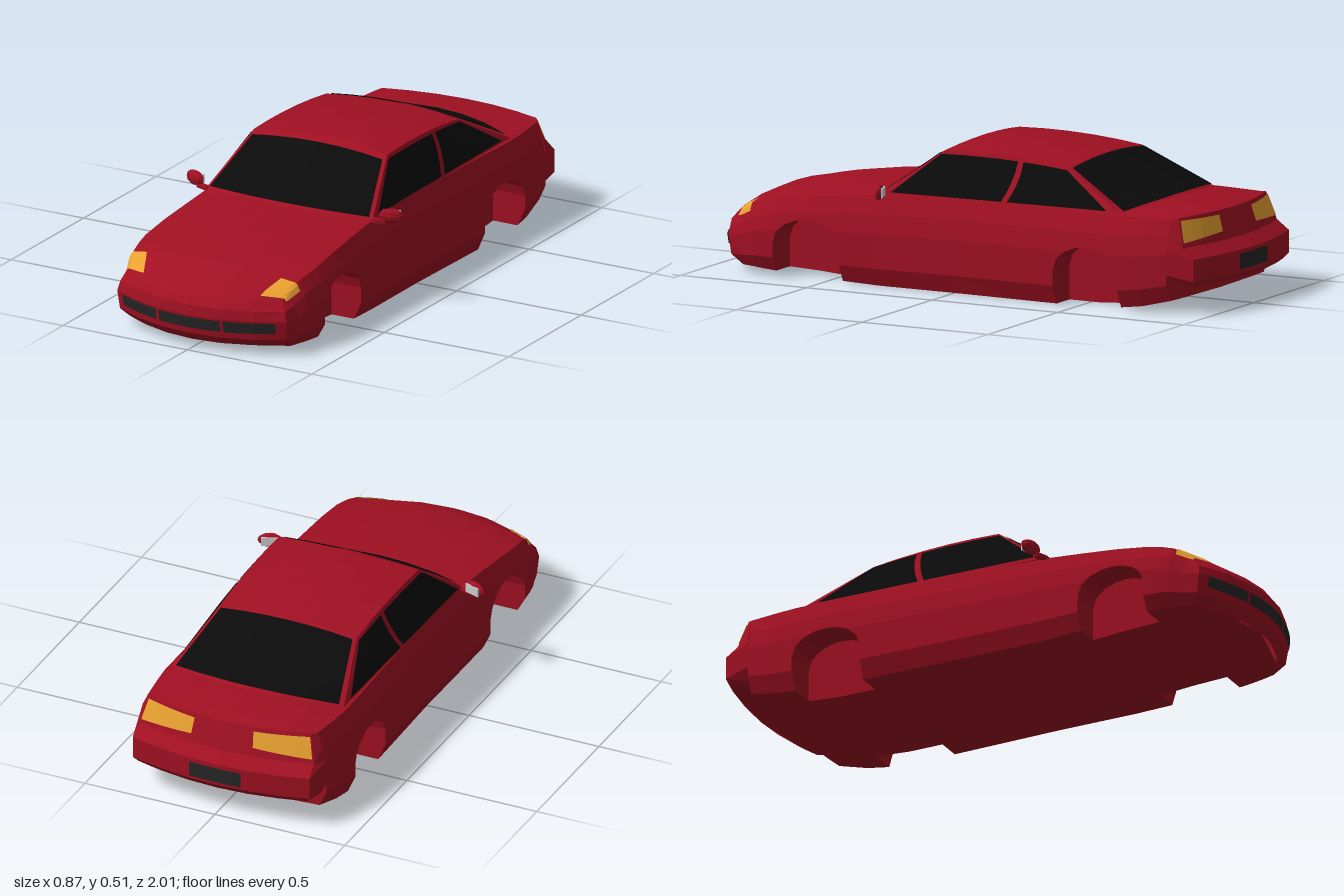
import * as THREE from 'three';

const V = (x, y, z) => new THREE.Vector3(x, y, z);
const lerp = THREE.MathUtils.lerp;
const mat = (color) => new THREE.MeshStandardMaterial({ color, flatShading: true, side: THREE.DoubleSide });
const RED = mat(0xa01022), GLASS = mat(0x0b0b0b), DARK = mat(0x262626), AMBER = mat(0xe8a030), GREY = mat(0xcccccc);

// Mesh from rows of points; faces look along (step in row) x (step between rows)
function grid(name, rows, material) {
  const n = rows[0].length, pos = [], idx = [];
  rows.forEach((r) => r.forEach((p) => pos.push(p.x, p.y, p.z)));
  for (let t = 0; t < rows.length - 1; t++) for (let s = 0; s < n - 1; s++) {
    const a = t * n + s, b = a + 1, c = a + n, d = c + 1;
    idx.push(a, b, d, a, d, c);
  }
  const g = new THREE.BufferGeometry();
  g.setAttribute('position', new THREE.Float32BufferAttribute(pos, 3));
  g.setIndex(idx);
  g.computeVertexNormals();
  const m = new THREE.Mesh(g, material);
  m.name = name;
  return m;
}

// Mesh from a function of a, b in 0..1, optionally mirrored to -x
function patch(name, f, na, nb, material, mirror = false) {
  const rows = [];
  for (let j = 0; j <= nb; j++) {
    const row = [];
    for (let i = 0; i <= na; i++) {
      const p = f(mirror ? 1 - i / na : i / na, j / nb);
      if (mirror) p.x *= -1;
      row.push(p);
    }
    rows.push(row);
  }
  return grid(name, rows, material);
}

// Four-cornered piece lying just above a surface f(u, v); corners run counter-clockwise
function overlay(name, f, [A, B, C, D], n, material, mirror = false, off = 0.004) {
  const g = (a, b) => f(
    lerp(lerp(A[0], B[0], a), lerp(D[0], C[0], a), b),
    lerp(lerp(A[1], B[1], a), lerp(D[1], C[1], a), b));
  const e = 0.02;
  return patch(name, (a, b) => {
    const du = g(a + e, b).sub(g(a - e, b)), dv = g(a, b + e).sub(g(a, b - e));
    return g(a, b).addScaledVector(du.cross(dv).normalize(), off);
  }, n, n, material, mirror);
}
const rect = (u0, u1, v0, v1) => [[u0, v0], [u1, v0], [u1, v1], [u0, v1]];

// Body stations: z, bottom, shoulder height, centre height, half width
const STATIONS = [
  [0.9, 0.025, 0.215, 0.24, 0.35], [0.82, 0.025, 0.25, 0.275, 0.367], [0.7, 0.02, 0.272, 0.297, 0.38],
  [0.575, 0.015, 0.29, 0.313, 0.378], [0.44, 0.005, 0.305, 0.323, 0.372], [0.3, 0, 0.318, 0.33, 0.368],
  [0, 0, 0.328, 0.33, 0.366], [-0.41, 0, 0.33, 0.335, 0.375], [-0.54, 0, 0.33, 0.347, 0.381],
  [-0.67, 0.01, 0.33, 0.36, 0.383], [-0.75, 0.02, 0.33, 0.358, 0.375], [-0.87, 0.045, 0.33, 0.347, 0.36]];
const LEVELS = [[0, 0.925], [0.2, 1], [0.58, 1], [0.8, 0.965], [1, 0.9]]; // height and width fractions
const DECK = [0, 0.35, 0.7, 1];
const INNER = 0.255;

// Bumper faces: y, z, half width from bottom to top
const FRONT = { bow: -0.1, rows: [[0.03, 0.965, 0.31], [0.06, 0.99, 0.335], [0.13, 1, 0.34], [0.165, 0.995, 0.33], [0.192, 0.975, 0.31]] };
const REAR = { bow: 0.05, rows: [[0.1, -0.985, 0.325], [0.12, -1, 0.34], [0.2, -1, 0.34], [0.235, -0.955, 0.335], [0.335, -0.925, 0.31]] };

function endFace(end, u, v) {
  const i = THREE.MathUtils.clamp(Math.floor(v), 0, 3);
  const [y, z, w] = [0, 1, 2].map((k) => lerp(end.rows[i][k], end.rows[i + 1][k], v - i));
  return V(u * w, y, z + end.bow * u * u);
}

// Half ring at an end: top edge, side levels, bottom edge
function endRing(end) {
  const fi = INNER / end.rows[0][2];
  return [...DECK.map((f) => endFace(end, f, 4)), ...[3, 2, 1, 0].map((v) => endFace(end, 1, v)),
    endFace(end, fi, 0), endFace(end, fi, 0), endFace(end, 0, 0)];
}

// Half ring of the body, with its side cut off below the wheel arch
function ring(z, arch = 0, bottom) {
  let i = 0;
  while (i < STATIONS.length - 2 && z < STATIONS[i + 1][0]) i++;
  const k = (z - STATIONS[i][0]) / (STATIONS[i + 1][0] - STATIONS[i][0]);
  let [, yb, ys, yt, w] = STATIONS[i].map((a, c) => lerp(a, STATIONS[i + 1][c], k));
  yb = bottom ?? yb;
  const cut = Math.max(arch, yb);
  const bow = z > 0.75 ? -0.4 * (z - 0.75) : z < -0.8 ? 0.25 * (-0.8 - z) : 0;
  const P = (x, y) => V(x, y, z + bow * (x / w) ** 2);
  const side = LEVELS.map(([t]) => {
    const y = Math.max(lerp(yb, ys, t), cut), q = (y - yb) / (ys - yb);
    let j = 0;
    while (j < 3 && q > LEVELS[j + 1][0]) j++;
    const [a, b] = [LEVELS[j], LEVELS[j + 1]];
    return P(w * lerp(a[1], b[1], (q - a[0]) / (b[0] - a[0])), y);
  });
  return [...DECK.slice(0, 3).map((f) => P(f * 0.9 * w, lerp(yt, ys, f * f))), ...side.reverse(),
    P(INNER, cut), P(INNER, yb), P(0, yb)];
}

// Rings through a wheel well, square-sided below and rounded above
function wheelWell(zc) {
  const rings = [ring(zc + 0.13)];
  for (const u of [1, 0.9, 0.65, 0.3, 0, -0.3, -0.65, -0.9, -1]) {
    rings.push(ring(zc + 0.13 * u, 0.125 + 0.087 * Math.sqrt(1 - u * u)));
  }
  return [...rings, ring(zc - 0.13)];
}

// Cabin surfaces
const roof = (u, v) => V(u * lerp(0.268, 0.264, v), 0.503 - 0.02 * v + 0.045 * v * (1 - v) - 0.018 * u * u,
  lerp(0.065 + 0.015 * u * u, -0.41, v));
const windshield = (u, v) => V(0.335 * u, 0.33 - 0.01 * u * u, 0.348 - 0.05 * u * u).lerp(roof(u, 0), v);
const rearScreen = (u, v) => roof(u, 1).lerp(V(0.332 * u, 0.358 - 0.028 * u * u, -0.73 + 0.07 * u * u), v);
const cabinSide = (u, v) => V(lerp(0.335, 0.332, u), lerp(0.32, 0.33, u), lerp(0.298, -0.66, u)).lerp(roof(1, u), v);

export function createModel() {
  const car = new THREE.Group();
  car.name = 'car';

  // Lower body shell
  const half = [endRing(FRONT), ring(0.9), ring(0.82), ring(0.76), ...wheelWell(0.572), ring(0.3), ring(0), ring(-0.25),
    ...wheelWell(-0.54), ring(-0.75), ring(-0.87), ring(-0.87, 0, 0.09), endRing(REAR)];
  const full = half.map((r) => [...r.slice(1).reverse().map((p) => V(-p.x, p.y, p.z)), ...r]);
  car.add(grid('bodyShell', full, RED));

  // Bumper faces, with columns matching the shell
  const cols = [-1, -0.7, -0.35, 0, 0.35, 0.7, 1];
  const face = (end) => [0, 1, 2, 3, 4].map((v) => cols.map((u) => endFace(end, u, v)));
  car.add(grid('frontBumper', face(FRONT), RED), grid('rearBumper', face(REAR).reverse(), RED));

  // Roof, pillars and window frames
  const wide = (f) => (a, b) => f(2 * a - 1, b);
  car.add(patch('roof', wide(roof), 6, 5, RED), patch('windshieldFrame', wide(windshield), 6, 1, RED),
    patch('rearWindowFrame', wide(rearScreen), 6, 1, RED));

  // Windshield and rear window glass
  car.add(overlay('windshield', windshield, [[-0.96, 0.04], [0.96, 0.04], [0.95, 0.9], [-0.95, 0.9]], 6, GLASS),
    overlay('rearWindow', rearScreen, rect(-0.95, 0.95, 0.04, 0.96), 6, GLASS));

  // Grille and number plate panels
  const front = (u, v) => endFace(FRONT, u, v), rear = (u, v) => endFace(REAR, u, -v);
  car.add(overlay('centreGrille', front, rect(-0.36, 0.36, 1.33, 1.92), 4, DARK),
    overlay('numberPlate', rear, rect(-0.29, 0.29, -1.85, -1.15), 4, DARK));

  // Point on the shell by ring position s and station t
  const shell = (s, t) => {
    const i = THREE.MathUtils.clamp(Math.floor(s), 0, 9), j = THREE.MathUtils.clamp(Math.floor(t), 0, half.length - 2);
    const at = (r) => r[i].clone().lerp(r[i + 1], s - i);
    return at(half[j]).lerp(at(half[j + 1]), t - j);
  };

  for (const mirror of [false, true]) {
    const side = mirror ? 'right' : 'left';
    const add = (name, f, c, n, m, off) => car.add(overlay(side + name, f, c, n, m, mirror, off));
    car.add(patch(side + 'CabinSide', cabinSide, 5, 1, RED, mirror));
    add('FrontWindow', cabinSide, [[0.03, 0.06], [0.5, 0.06], [0.595, 0.92], [0.02, 0.92]], 4, GLASS);
    add('RearWindow', cabinSide, [[0.525, 0.06], [0.95, 0.06], [0.96, 0.92], [0.635, 0.92]], 4, GLASS);
    add('Grille', front, [[0.4, 1.33], [0.9, 1.4], [0.9, 1.95], [0.39, 1.92]], 4, DARK);
    add('TailLight', rear, [[0.36, -3.86], [0.99, -3.9], [0.99, -3.15], [0.36, -3.3]], 4, AMBER);
    add('Headlight', shell, [[2.15, 0.45], [3.3, 0.4], [3.55, 1.75], [2.4, 1.85]], 8, AMBER, 0.005);

    // Door mirror: housing, stalk and glass
    const sx = mirror ? -1 : 1;
    const doorMirror = new THREE.Group();
    doorMirror.name = side + 'DoorMirror';
    const housing = new THREE.Mesh(new THREE.SphereGeometry(1, 8, 6), RED);
    housing.name = 'mirrorHousing';
    housing.scale.set(0.045, 0.027, 0.017);
    const glass = new THREE.Mesh(new THREE.BoxGeometry(0.062, 0.032, 0.006), GREY);
    glass.name = 'mirrorGlass';
    glass.position.z = -0.014;
    const stalk = new THREE.Mesh(new THREE.BoxGeometry(0.05, 0.014, 0.02), RED);
    stalk.name = 'mirrorStalk';
    stalk.position.set(-0.045 * sx, -0.021, 0);
    doorMirror.add(housing, glass, stalk);
    doorMirror.position.set(0.394 * sx, 0.341, 0.27);
    doorMirror.rotation.y = 0.35 * sx;
    car.add(doorMirror);
  }
  return car;
}
